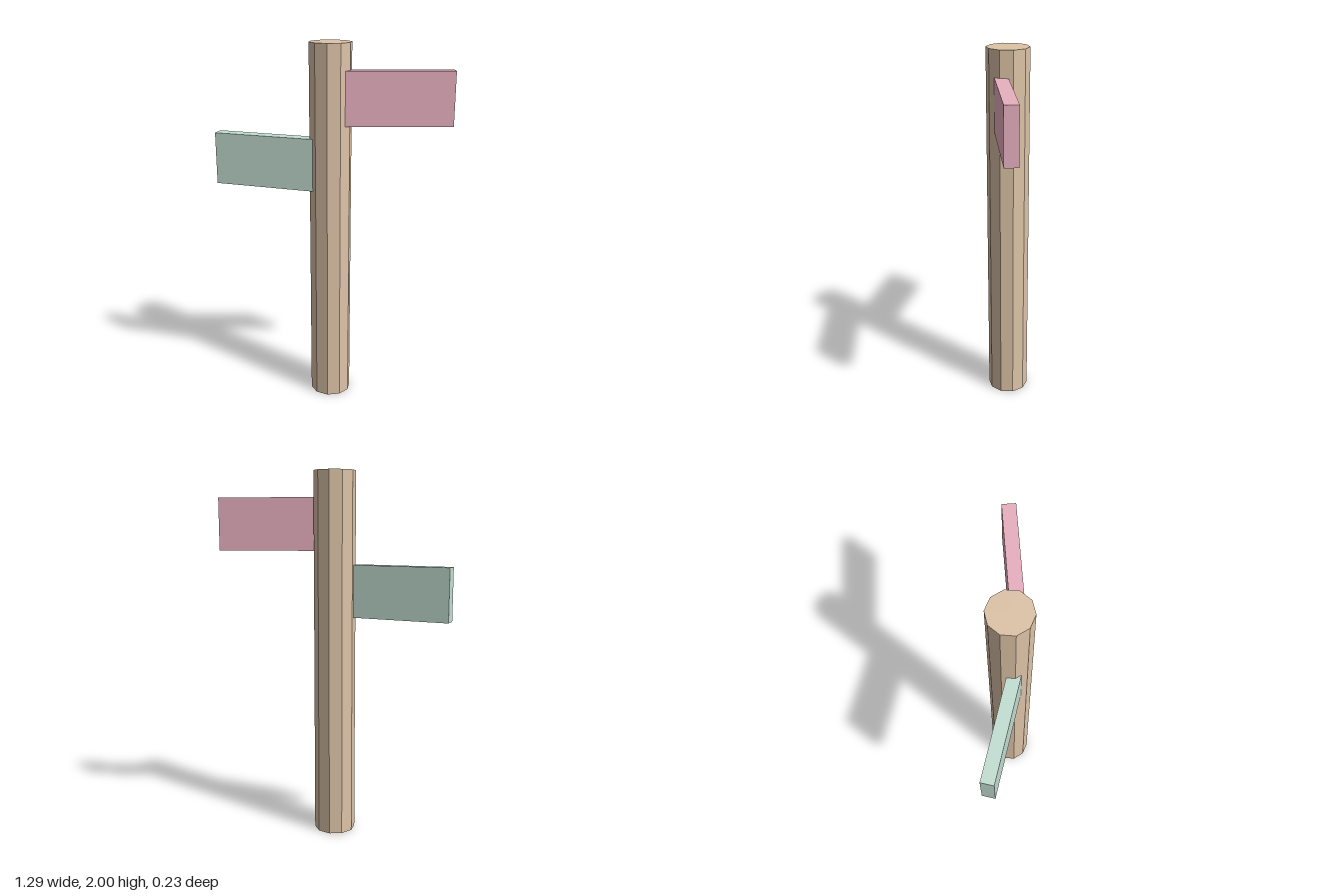
import * as THREE from 'three';

const paint = (color) => new THREE.MeshStandardMaterial({ color, flatShading: true });

// Board reaching out of the post to one side (+1 left, -1 right), swept slightly back
function makeBoard(name, side, y, color) {
  const board = new THREE.Mesh(new THREE.BoxGeometry(0.6, 0.285, 0.07), paint(color));
  board.name = name;
  board.position.set(side * 0.342, y, -0.011);
  board.rotation.y = side * 0.152;
  return board;
}

export function createModel() {
  const group = new THREE.Group();
  group.name = 'signpost';

  // Ten-sided post
  const post = new THREE.Mesh(new THREE.CylinderGeometry(0.113, 0.113, 2, 10), paint(0xdec4a8));
  post.name = 'post';
  post.position.y = 1;
  group.add(post);

  // Two boards at different heights
  group.add(makeBoard('leftBoard', 1, 1.718, 0xe8b0c0));
  group.add(makeBoard('rightBoard', -1, 1.36, 0xc4dfd3));
  return group;
}
